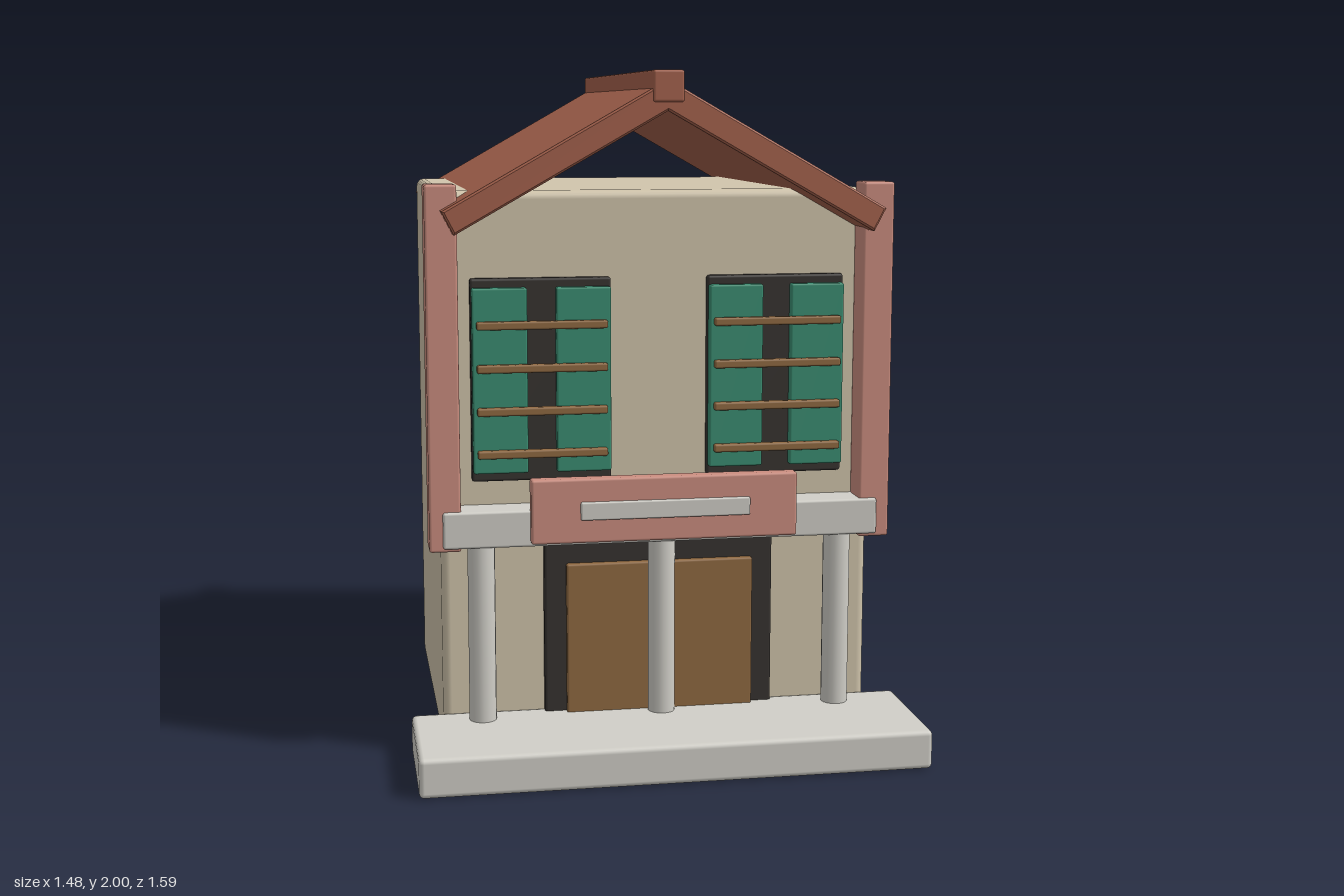
import * as THREE from 'three';
import { RoundedBoxGeometry } from 'three/addons/geometries/RoundedBoxGeometry.js';

const paint = (color) => new THREE.MeshStandardMaterial({ color });
const wall = paint(0xd1c5ac);
const tile = paint(0xa5624d);
const pink = paint(0xcc8e80);
const stone = paint(0xd1cfc8);
const teal = paint(0x3b8e72);
const wood = paint(0x906a42);
const dark = paint(0x373330);

// Softly bevelled box given by its extents on each axis
function block(parent, name, material, [x0, x1], [y0, y1], [z0, z1], bevel = 0.008) {
  const geometry = new RoundedBoxGeometry(x1 - x0, y1 - y0, z1 - z0, 2, bevel);
  const mesh = new THREE.Mesh(geometry, material);
  mesh.name = name;
  mesh.position.set((x0 + x1) / 2, (y0 + y1) / 2, (z0 + z1) / 2);
  parent.add(mesh);
  return mesh;
}

// Dark frame, two open shutters and four wooden bars
function makeWindow(name, x) {
  const g = new THREE.Group();
  g.name = name;
  block(g, 'windowFrame', dark, [-0.205, 0.205], [0.817, 1.41], [0.38, 0.425]);
  for (const s of [-1, 1]) {
    block(g, 'shutter', teal, [s * 0.122 - 0.08, s * 0.122 + 0.08], [0.844, 1.384], [0.41, 0.45], 0.006);
  }
  for (let i = 0; i < 4; i++) {
    const y = 0.902 + i * 0.125;
    block(g, 'windowBar', wood, [-0.19, 0.19], [y - 0.012, y + 0.012], [0.44, 0.468], 0.006);
  }
  g.position.x = x;
  return g;
}

// Two sloping slabs as one chevron, run from back to front
function makeRoof() {
  const b = 0.006;
  const points = [[0, 1.967], [-0.632, 1.607], [-0.603, 1.551], [0, 1.893], [0.603, 1.551], [0.632, 1.607]];
  const shape = new THREE.Shape(points.map(([x, y]) => new THREE.Vector2(x, y)));
  const geometry = new THREE.ExtrudeGeometry(shape, {
    depth: 1.35 - 2 * b, bevelEnabled: true, bevelThickness: b, bevelSize: b, bevelSegments: 1,
  });
  geometry.translate(0, 0, -0.785 + b);
  const mesh = new THREE.Mesh(geometry, tile);
  mesh.name = 'roofSlabs';
  return mesh;
}

export function createModel() {
  const model = new THREE.Group();
  model.name = 'shophouse';

  // Main volume and front step
  block(model, 'body', wall, [-0.645, 0.645], [0, 1.66], [-0.645, 0.403], 0.025);
  block(model, 'frontStep', stone, [-0.74, 0.74], [0, 0.115], [0.395, 0.795], 0.015);

  // Roof and ridge
  model.add(makeRoof());
  block(model, 'ridgeCap', tile, [-0.045, 0.045], [1.91, 2], [-0.795, 0.571]);

  // Side pilasters
  for (const s of [-1, 1]) {
    block(model, s > 0 ? 'leftPilaster' : 'rightPilaster', pink,
      [s * 0.638 - 0.046, s * 0.638 + 0.046], [0.627, 1.682], [0.4, 0.498]);
    model.add(makeWindow(s > 0 ? 'leftWindow' : 'rightWindow', s * 0.348));
  }

  // Ledge with sign board
  block(model, 'ledge', stone, [-0.645, 0.645], [0.637, 0.745], [0.395, 0.508]);
  block(model, 'signBoard', pink, [-0.393, 0.393], [0.648, 0.838], [0.488, 0.535]);
  block(model, 'signPlate', stone, [-0.25, 0.25], [0.717, 0.77], [0.52, 0.546], 0.005);

  // Doorway
  block(model, 'doorFrame', dark, [-0.344, 0.344], [0.1, 0.66], [0.38, 0.43]);
  for (const s of [-1, 1]) {
    block(model, 'doorLeaf', wood, [s * 0.142 - 0.138, s * 0.142 + 0.138], [0.105, 0.565], [0.41, 0.45], 0.006);
  }

  // Columns under the ledge
  for (const x of [-0.533, 0, 0.533]) {
    const column = new THREE.Mesh(new THREE.CylinderGeometry(0.04, 0.04, 0.55, 16), stone);
    column.name = 'column';
    column.position.set(x, 0.375, 0.466);
    model.add(column);
  }

  return model;
}
